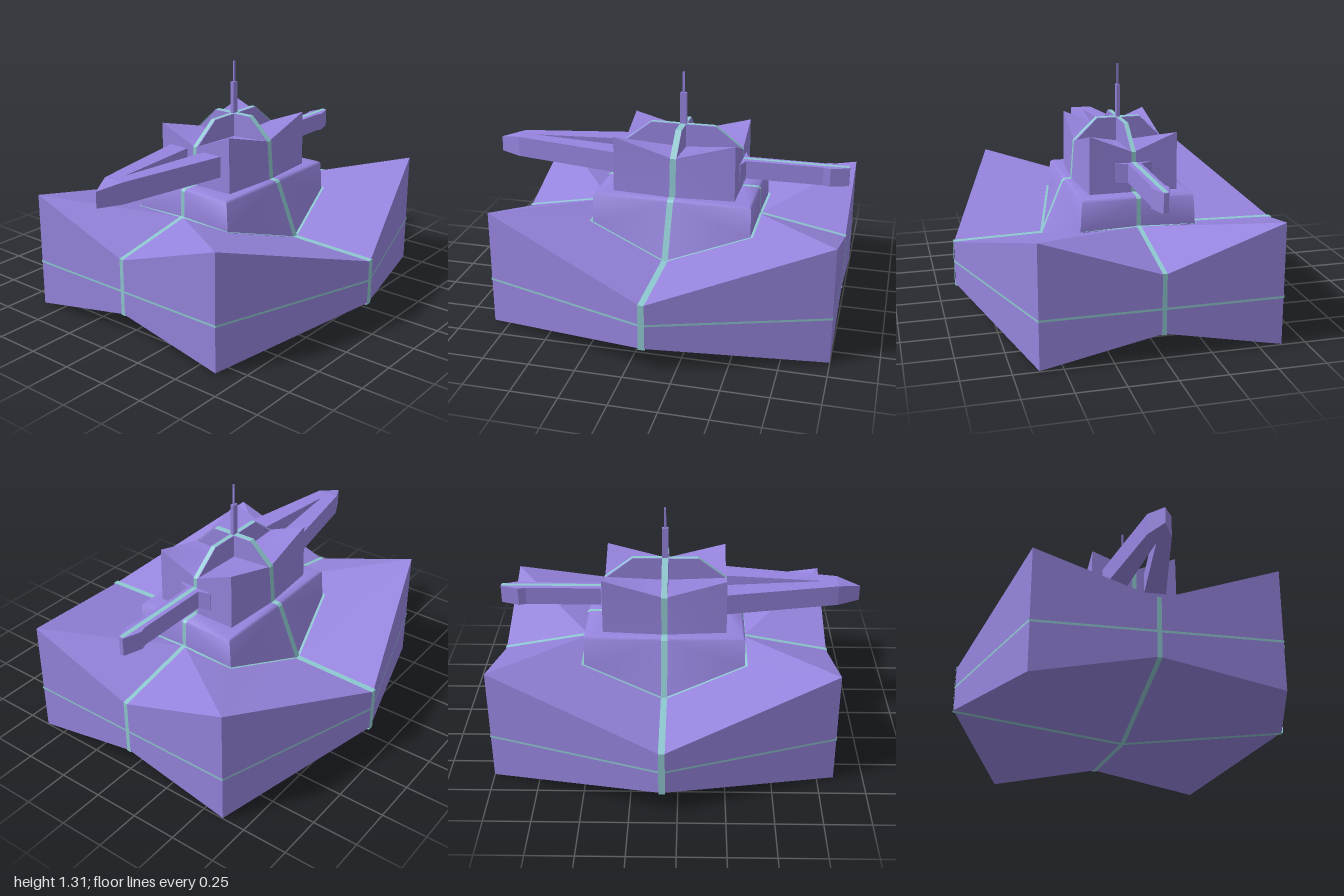
import * as THREE from 'three';
import { toCreasedNormals } from 'three/addons/utils/BufferGeometryUtils.js';

const CZ = -0.08; // z of the hull's centre

// Eight-point ring: corners (cx, cy, cz), side middles (sx, sy), end middles (fz, fy)
function ring(cx, cz, cy, sx, sy, fz, fy) {
  return [
    [cx, cy, cz], [sx, sy, 0], [cx, cy, -cz], [0, fy, -fz],
    [-cx, cy, -cz], [-sx, sy, 0], [-cx, cy, cz], [0, fy, fz],
  ].map(([x, y, z]) => new THREE.Vector3(x, y, z + CZ));
}

// Skin consecutive rings; the diagonals always start at the lower ring's corners
function loft(rings, crease) {
  const pos = [];
  const tri = (a, b, c) => {
    if (a.distanceTo(b) < 1e-5 || b.distanceTo(c) < 1e-5 || a.distanceTo(c) < 1e-5) return;
    for (const p of [a, b, c]) pos.push(p.x, p.y, p.z);
  };
  for (let i = 0; i + 1 < rings.length; i++) {
    const a = rings[i], b = rings[i + 1];
    for (let k = 0; k < 8; k++) {
      const n = (k + 1) % 8;
      if (k % 2 === 0) {
        tri(a[k], a[n], b[n]);
        tri(a[k], b[n], b[k]);
      } else {
        tri(a[k], a[n], b[k]);
        tri(a[n], b[n], b[k]);
      }
    }
  }
  const g = new THREE.BufferGeometry();
  g.setAttribute('position', new THREE.Float32BufferAttribute(pos, 3));
  g.computeVertexNormals();
  return toCreasedNormals(g, crease);
}

// Flat ribbon along a path, half-width vector w
function ribbon(path, w) {
  const pos = [];
  for (let i = 0; i + 1 < path.length; i++) {
    const [p, q] = [path[i], path[i + 1]];
    const a = p.clone().sub(w), b = p.clone().add(w);
    const c = q.clone().add(w), d = q.clone().sub(w);
    for (const v of [a, b, c, a, c, d]) pos.push(v.x, v.y, v.z);
  }
  const g = new THREE.BufferGeometry();
  g.setAttribute('position', new THREE.Float32BufferAttribute(pos, 3));
  g.computeVertexNormals();
  return g;
}

// Extrude a plan outline of [x, z] points between two heights
function planExtrude(points, y0, y1) {
  const shape = new THREE.Shape(points.map(([x, z]) => new THREE.Vector2(x, z)));
  const g = new THREE.ExtrudeGeometry(shape, { depth: y1 - y0, bevelEnabled: false });
  g.rotateX(Math.PI / 2);
  g.translate(0, y1, 0);
  return g;
}

// Upright roof fin along x: long foot, shorter flat top
function fin(foot, top, halfWidth) {
  const outline = [[-foot, 0.87], [foot, 0.87], [foot, 0.893], [top, 1.015], [-top, 1.015], [-foot, 0.893]];
  const shape = new THREE.Shape(outline.map(([x, y]) => new THREE.Vector2(x, y)));
  const g = new THREE.ExtrudeGeometry(shape, { depth: halfWidth * 2, bevelEnabled: false });
  return g.translate(0, 0, -halfWidth);
}

// Mirror a half outline across x = 0
const mirrored = (half) => [...half, ...half.slice().reverse().map(([x, z]) => [-x, z])];

export function createModel() {
  const model = new THREE.Group();
  const purple = new THREE.MeshStandardMaterial({ color: 0x9684de });
  purple.name = 'purple armour';
  const teal = new THREE.MeshStandardMaterial({ color: 0x8ec8d0, side: THREE.DoubleSide });
  teal.name = 'pale teal trim';
  const add = (name, geometry, material = purple) => {
    const mesh = new THREE.Mesh(geometry, material);
    mesh.name = name;
    model.add(mesh);
    return mesh;
  };

  // Body rings from the underside to the dished roof
  const underside = ring(0, 0, 0, 0, 0, 0, 0);
  const hullBottom = ring(0.62, 0.92, 0, 0.92, 0.125, 0.92, 0.125);
  const hullTop = ring(0.62, 0.92, 0.645, 0.92, 0.365, 0.92, 0.43);
  const deck = ring(0.31, 0.44, 0.51, 0.43, 0.375, 0.44, 0.52);
  const tierEdge = ring(0.3, 0.437, 0.668, 0.31, 0.668, 0.437, 0.668);
  const tierTop = ring(0.29, 0.425, 0.68, 0.3, 0.68, 0.425, 0.68);
  const turretBottom = ring(0.238, 0.337, 0.68, 0.262, 0.68, 0.337, 0.68);
  const turretTop = ring(0.235, 0.335, 0.99, 0.245, 0.895, 0.335, 0.895);
  const roofCentre = ring(0, 0, 0.88, 0, 0.88, 0, 0.88);

  add('hull', loft([underside, hullBottom, hullTop, deck], 0.5));
  add('lowerTier', loft([deck, tierEdge, tierTop, turretBottom], 0.9));
  add('turret', loft([turretBottom, turretTop], 0.5));
  add('roof', loft([turretTop, roofCentre], 0.9));

  // Crossed fins on the roof
  add('sideFin', fin(0.243, 0.12, 0.017)).position.z = CZ;
  const lengthFin = add('lengthFin', fin(0.333, 0.18, 0.013));
  lengthFin.position.z = CZ;
  lengthFin.rotation.y = Math.PI / 2;

  // Trim over the middle of every side, as [distance from centre, height]
  const endPath = [[0, -0.004], [0.923, 0.119], [0.924, 0.438], [0.444, 0.528], [0.441, 0.672],
    [0.427, 0.683], [0.341, 0.683], [0.339, 0.897], [0.181, 1.018], [0, 1.018]];
  const sidePath = [[0, -0.004], [0.923, 0.119], [0.924, 0.373], [0.436, 0.384], [0.315, 0.672],
    [0.302, 0.683], [0.266, 0.683], [0.249, 0.897], [0.121, 1.018], [0, 1.018]];
  for (const s of [1, -1]) {
    add(s > 0 ? 'frontTrim' : 'backTrim',
      ribbon(endPath.map(([d, y]) => new THREE.Vector3(0, y, CZ + s * d)), new THREE.Vector3(0.012, 0, 0)), teal);
    add(s > 0 ? 'leftTrim' : 'rightTrim',
      ribbon(sidePath.map(([d, y]) => new THREE.Vector3(s * d, y, CZ)), new THREE.Vector3(0, 0, 0.017)), teal);
  }

  // Thin belt around the hull, and trim around the foot of the lower tier
  const belt = (y) => ring(0.623, 0.923, y, 0.923, y, 0.923, y);
  add('hullBelt', loft([belt(0.25), belt(0.262)], 0.5), teal);
  const lift = (t) => deck.map((p, i) => p.clone().lerp(hullTop[i], t).add(new THREE.Vector3(0, 0.005, 0)));
  add('deckTrim', loft([lift(0.03), lift(0)], 0.5), teal);

  // Forked front gun with a drooping tip
  add('frontGun', planExtrude(
    [[0.062, 0.875], [-0.062, 0.875], [-0.185, 0.22], [-0.06, 0.22], [0, 0.8], [0.06, 0.22], [0.185, 0.22]],
    0.762, 0.878));
  const tip = planExtrude([[-0.062, 0.875], [0, 1.0], [0.062, 0.875]], 0.762, 0.878);
  const p = tip.attributes.position;
  for (let i = 0; i < p.count; i++) {
    if (p.getZ(i) > 0.95 && p.getY(i) > 0.8) p.setY(i, 0.85);
  }
  tip.computeVertexNormals();
  add('frontGunTip', tip);

  // Rear gun with a flared root and an arrow-shaped muzzle
  add('rearGun', planExtrude(
    mirrored([[0.1, -0.4], [0.1, -0.42], [0.036, -0.44], [0.034, -0.86], [0.046, -0.9], [0.012, -1.0]]),
    0.738, 0.84));
  add('rearGunTrim', ribbon(
    [new THREE.Vector3(0, 0.843, -0.42), new THREE.Vector3(0, 0.843, -0.995)], new THREE.Vector3(0.013, 0, 0)), teal);

  // Two-step antenna
  add('antennaBase', new THREE.BoxGeometry(0.02, 0.2, 0.036)).position.set(0, 1.095, CZ);
  add('antennaRod', new THREE.BoxGeometry(0.009, 0.13, 0.012)).position.set(0, 1.246, CZ);

  return model;
}
